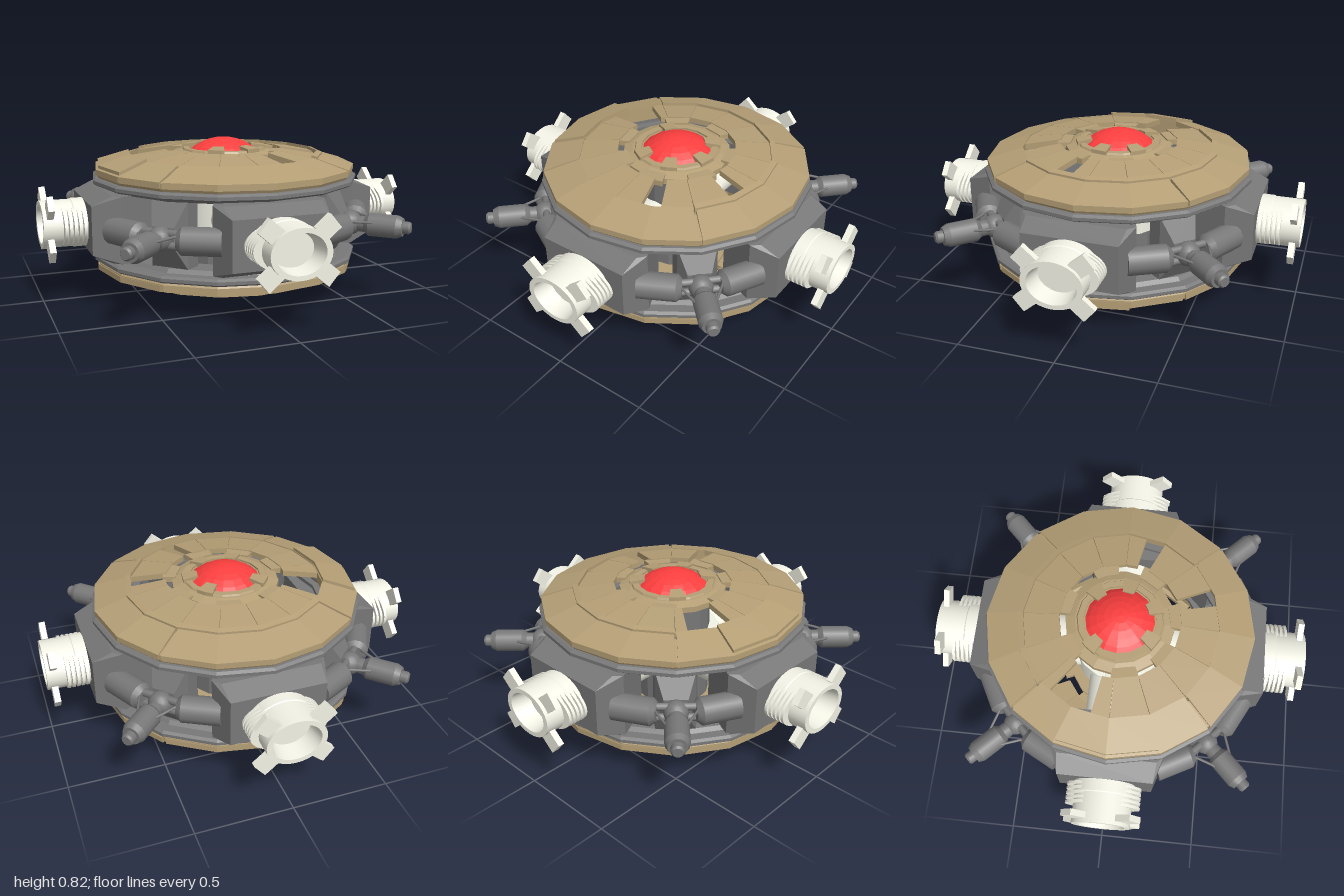
import * as THREE from 'three';
import { ConvexGeometry } from 'three/addons/geometries/ConvexGeometry.js';

const mat = (color, flatShading = false) =>
  new THREE.MeshStandardMaterial({ color, flatShading, side: THREE.DoubleSide });
const tan = mat(0xb59f76, true), dark = mat(0x787879, true), darkSmooth = mat(0x787879);
const light = mat(0xf4f3e6), red = mat(0xff3f3f, true);
const V = (x, y, z) => new THREE.Vector3(x, y, z);
const MID = 0.41; // height of the mirror plane

function add(parent, name, geometry, material) {
  const m = new THREE.Mesh(geometry, material);
  m.name = name;
  parent.add(m);
  return m;
}

// Sweeps a convex (radius, height) profile around y in 16ths, from a0 to a1 degrees
function sweep(profile, a0, a1) {
  const angles = [a0];
  for (let a = Math.floor(a0 / 22.5 + 1) * 22.5; a < a1 - 0.01; a += 22.5) angles.push(a);
  angles.push(a1);
  const at = ([r, y], deg) => {
    const t = deg * Math.PI / 180;
    return V(r * Math.cos(t), y, r * Math.sin(t));
  };
  const pts = [], n = profile.length;
  for (let i = 0; i < angles.length - 1; i++) {
    for (let j = 0; j < n; j++) {
      const p = profile[j], q = profile[(j + 1) % n], a = angles[i], b = angles[i + 1];
      pts.push(at(p, a), at(q, a), at(q, b), at(p, a), at(q, b), at(p, b));
    }
  }
  if (a1 - a0 < 360) for (let j = 1; j < n - 1; j++) {
    pts.push(at(profile[0], a0), at(profile[j + 1], a0), at(profile[j], a0));
    pts.push(at(profile[0], a1), at(profile[j], a1), at(profile[j + 1], a1));
  }
  const g = new THREE.BufferGeometry().setFromPoints(pts);
  g.computeVertexNormals();
  return g;
}

// Sloping plate of thickness t between two radii
const plate = (r0, y0, r1, y1, t, a0, a1) =>
  sweep([[r0, y0 - t], [r1, y1 - t], [r1, y1], [r0, y0]], a0, a1);

// Lathe whose axis points along z, sharp at every profile point
function latheZ(points, segments) {
  const pts = [];
  points.forEach(([r, z], i) => {
    const p = new THREE.Vector2(r, z);
    pts.push(p);
    if (i > 0 && i < points.length - 1) pts.push(p.clone());
  });
  return new THREE.LatheGeometry(pts, segments).rotateX(Math.PI / 2);
}

// Cylinder between two points
function rod(parent, name, a, b, r0, r1, sides = 14) {
  const m = add(parent, name, new THREE.CylinderGeometry(r1, r0, a.distanceTo(b), sides), darkSmooth);
  m.position.copy(a).lerp(b, 0.5);
  m.quaternion.setFromUnitVectors(V(0, 1, 0), b.clone().sub(a).normalize());
}

// Armoured half: dark frame ring, tan plates and red dome
function makeShell(name) {
  const g = new THREE.Group();
  g.name = name;
  add(g, 'frameRing', sweep([[0.56, 0.185], [0.705, 0.185], [0.72, 0.195], [0.72, 0.212], [0.705, 0.222], [0.56, 0.222]], 0, 360), dark);
  add(g, 'innerFrame', sweep([[0.52, 0.165], [0.64, 0.165], [0.66, 0.19], [0.52, 0.19]], 0, 360), dark);
  add(g, 'rim', sweep([[0.54, 0.222], [0.69, 0.222], [0.697, 0.235], [0.697, 0.262], [0.54, 0.3]], 0, 360), tan);
  // Outer plates, one per quarter
  for (let k = 0; k < 4; k++) {
    add(g, 'outerPlate', plate(0.515, 0.325, 0.705, 0.268, 0.03, k * 90 - 44.3, k * 90 + 44.3), tan);
  }
  add(g, 'raisedPlate', plate(0.52, 0.34, 0.69, 0.289, 0.025, 158, 202), tan);
  add(g, 'raisedPlate', plate(0.505, 0.338, 0.535, 0.33, 0.02, 225, 405), tan);
  // Inner plates, with open slots between the runs
  for (const [a0, a1] of [[22.5, 63], [74, 191], [218, 371]]) {
    for (let a = a0; a < a1 - 0.1;) {
      const b = Math.min(a1, Math.floor(a / 22.5 + 1.001) * 22.5);
      add(g, 'innerPlate', plate(0.315, 0.35, 0.525, 0.318, 0.03, a + 0.15, b - 0.15), tan);
      a = b;
    }
  }
  // Collar around the dome, with bridges to the plates
  add(g, 'collar', sweep([[0.18, 0.3], [0.285, 0.3], [0.285, 0.33], [0.235, 0.345], [0.18, 0.345]], 0, 360), tan);
  add(g, 'collarStep', sweep([[0.188, 0.34], [0.228, 0.34], [0.22, 0.355], [0.188, 0.355]], 0, 360), tan);
  for (const a of [30, 80, 125, 170, 235, 285, 340]) {
    add(g, 'bridge', plate(0.26, 0.345, 0.33, 0.345, 0.03, a - 13, a + 13), tan);
  }
  for (const a of [10, 65, 120, 220, 316]) {
    add(g, 'domeClamp', plate(0.15, 0.375, 0.23, 0.365, 0.03, a - 11, a + 11), tan);
  }
  const R = 0.277;
  const dome = add(g, 'dome', new THREE.SphereGeometry(R, 16, 5, 0, Math.PI * 2, 0, Math.asin(0.19 / R)), red);
  dome.position.y = MID - R;
  return g;
}

// Side port: dark housing, elliptical ribbed pipe and four end clamps, facing +z
function makePort() {
  const g = new THREE.Group();
  g.name = 'port';
  const hull = [];
  for (const sx of [-1, 1]) for (const sy of [-1, 1]) {
    hull.push(V(sx * 0.245, sy * 0.125, 0.78), V(sx * 0.255, sy * 0.17, 0.68),
      V(sx * 0.29, sy * 0.17, 0.64), V(sx * 0.2, sy * 0.17, 0.44));
  }
  add(g, 'housing', new ConvexGeometry(hull), dark);
  const ellipse = (name, pts, sx) => add(g, name, latheZ(pts, 32).scale(sx, 1, 1), light);
  ellipse('innerPipe', [[0.11, 0.2], [0.11, 0.5]], 1.3);
  ellipse('pipe', [[0.125, 0.77], [0.125, 0.84], [0.121, 0.845],
    [0.121, 1], [0.098, 1], [0.085, 0.9], [0, 0.9]], 1.26);
  // Ribs stand out only at the sides of the pipe
  for (let i = 0; i < 5; i++) {
    const z = 0.792 + i * 0.024;
    ellipse('rib', [[0.08, z], [0.108, z], [0.108, z + 0.014], [0.08, z + 0.014]], 1.8);
  }
  for (const sx of [-1, 1]) {
    for (const sy of [-1, 1]) {
      const c = add(g, 'endClamp', new THREE.BoxGeometry(0.095, 0.085, 0.032), light);
      c.position.set(sx * 0.138, sy * 0.106, 0.965);
      c.rotation.z = sx * sy * 0.7;
    }
  }
  return g;
}

// Corner turret: barrel pointing out, two swept pods and a mount, facing +z
function makeTurret() {
  const g = new THREE.Group();
  g.name = 'turret';
  add(g, 'barrel', latheZ([[0, 0.7], [0.038, 0.7], [0.042, 0.8], [0.06, 0.825], [0.06, 0.965],
    [0.047, 0.995], [0.032, 0.995], [0.032, 1.025], [0.024, 1.035], [0, 1.035]], 16), darkSmooth);
  add(g, 'joint', new THREE.SphereGeometry(0.062, 16, 10), darkSmooth).position.z = 0.72;
  const mount = [];
  for (const sx of [-1, 1]) for (const sy of [-1, 1]) {
    mount.push(V(sx * 0.1, sy * 0.17, 0.62), V(sx * 0.11, sy * 0.17, 0.54), V(sx * 0.06, sy * 0.05, 0.69));
  }
  add(g, 'mount', new ConvexGeometry(mount), dark);
  for (const s of [-1, 1]) {
    const p = t => V(s * (0.09 + 0.21 * t), 0, 0.72 - 0.065 * t);
    rod(g, 'pod', p(0.12), p(1), 0.07, 0.07);
    rod(g, 'podNose', p(0), p(0.12), 0.045, 0.07);
    for (const y of [-0.03, 0.03]) {
      rod(g, 'podLink', V(0, y, 0.715), p(0.1).setY(y), 0.02, 0.02, 8);
    }
    rod(g, 'brace', V(s * 0.12, 0.03, 0.71), V(s * 0.05, 0.02, 0.85), 0.007, 0.007, 6);
  }
  return g;
}

export function createModel() {
  const model = new THREE.Group();
  model.name = 'ringStation';
  const body = new THREE.Group();
  body.name = 'body';
  body.position.y = MID;
  model.add(body);

  // The lower shell is the upper one mirrored and given half a turn
  body.add(makeShell('upperShell'));
  const lower = makeShell('lowerShell');
  lower.scale.y = -1;
  lower.rotation.y = Math.PI;
  body.add(lower);

  add(body, 'core', new THREE.CylinderGeometry(0.2, 0.2, 0.62, 16), dark);
  add(body, 'coreBand', new THREE.CylinderGeometry(0.25, 0.25, 0.2, 16), light);

  for (let k = 0; k < 4; k++) {
    const port = makePort(), turret = makeTurret();
    port.rotation.y = k * Math.PI / 2;
    turret.rotation.y = (k + 0.5) * Math.PI / 2;
    body.add(port, turret);
  }
  return model;
}
